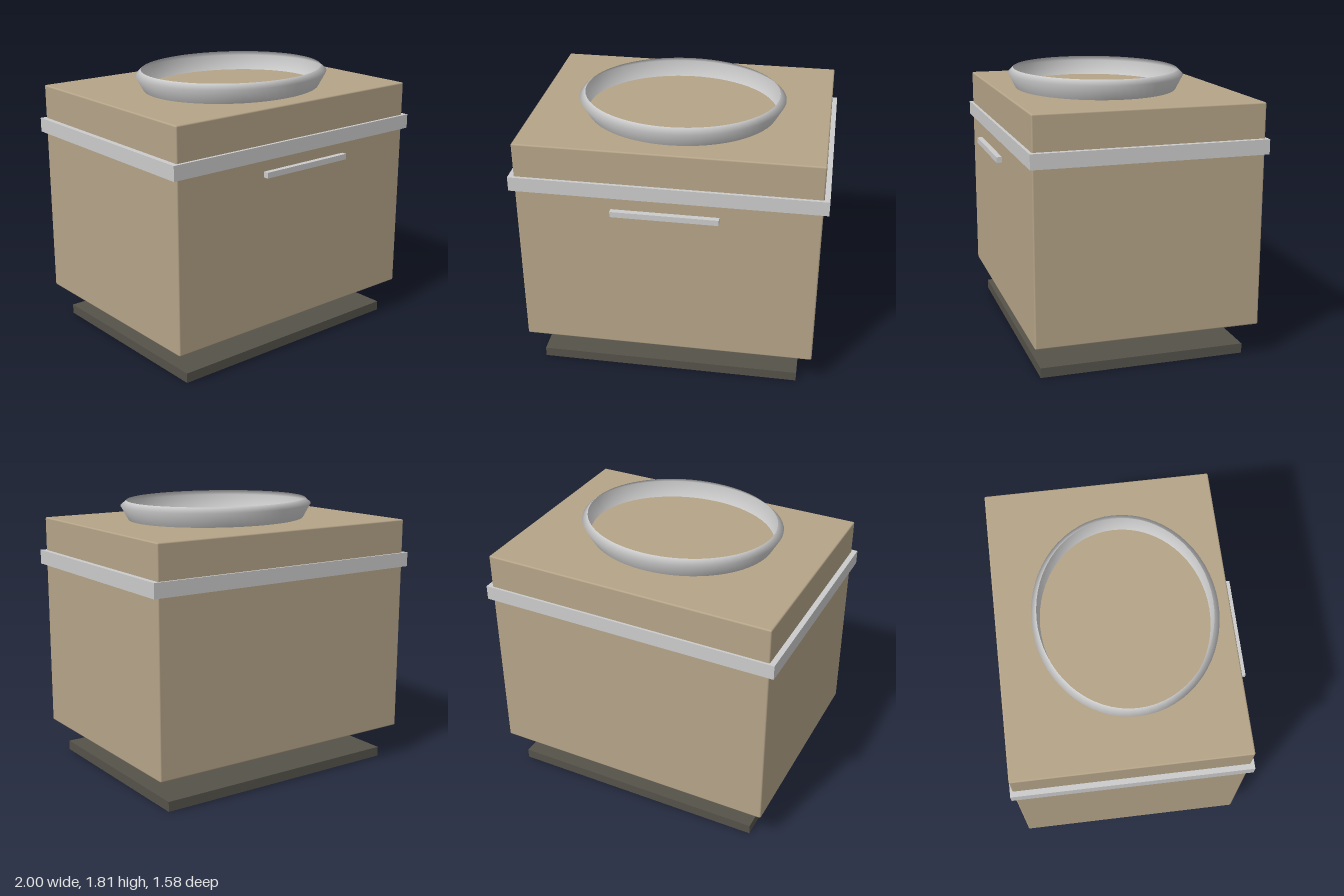
import * as THREE from 'three';
import { RoundedBoxGeometry } from 'three/addons/geometries/RoundedBoxGeometry.js';

const material = (color) => new THREE.MeshStandardMaterial({ color });

// Box placed by its [min, max] range along each axis, with optional rounded edges
function box(name, [x0, x1], [y0, y1], [z0, z1], mat, radius = 0) {
  const size = [x1 - x0, y1 - y0, z1 - z0];
  const geometry = radius
    ? new RoundedBoxGeometry(...size, 2, radius)
    : new THREE.BoxGeometry(...size);
  const mesh = new THREE.Mesh(geometry, mat);
  mesh.name = name;
  mesh.position.set((x0 + x1) / 2, (y0 + y1) / 2, (z0 + z1) / 2);
  return mesh;
}

export function createModel() {
  const group = new THREE.Group();
  group.name = 'washstand';
  const wood = material(0xb5a488);
  const dark = material(0x55524a);
  const grey = material(0xcccccc);

  // Cabinet floating above a dark plinth
  group.add(box('plinth', [-0.87, 0.87], [0, 0.065], [-0.71, 0.65], dark));
  group.add(box('cabinet', [-0.965, 0.965], [0.23, 1.68], [-0.775, 0.705], wood, 0.01));

  // Countertop slab showing as a band around the cabinet
  group.add(box('countertop', [-1, 1], [1.36, 1.455], [-0.79, 0.725], grey));

  // Bar handle standing clear of the front
  group.add(box('handle', [-0.34, 0.34], [1.267, 1.304], [0.755, 0.79], grey));

  // Oval basin wall flaring out, then turning in at the rim
  const profile = [[0.6, 1.645], [0.62, 1.68], [0.675, 1.775], [0.635, 1.81]]
    .map(([r, y]) => new THREE.Vector2(r, y));
  const ceramic = material(0xcccccc);
  ceramic.side = THREE.DoubleSide;
  const basin = new THREE.Mesh(new THREE.LatheGeometry(profile, 64), ceramic);
  basin.name = 'basin';
  basin.scale.z = 0.86;
  basin.position.z = 0.037;
  group.add(basin);

  return group;
}
